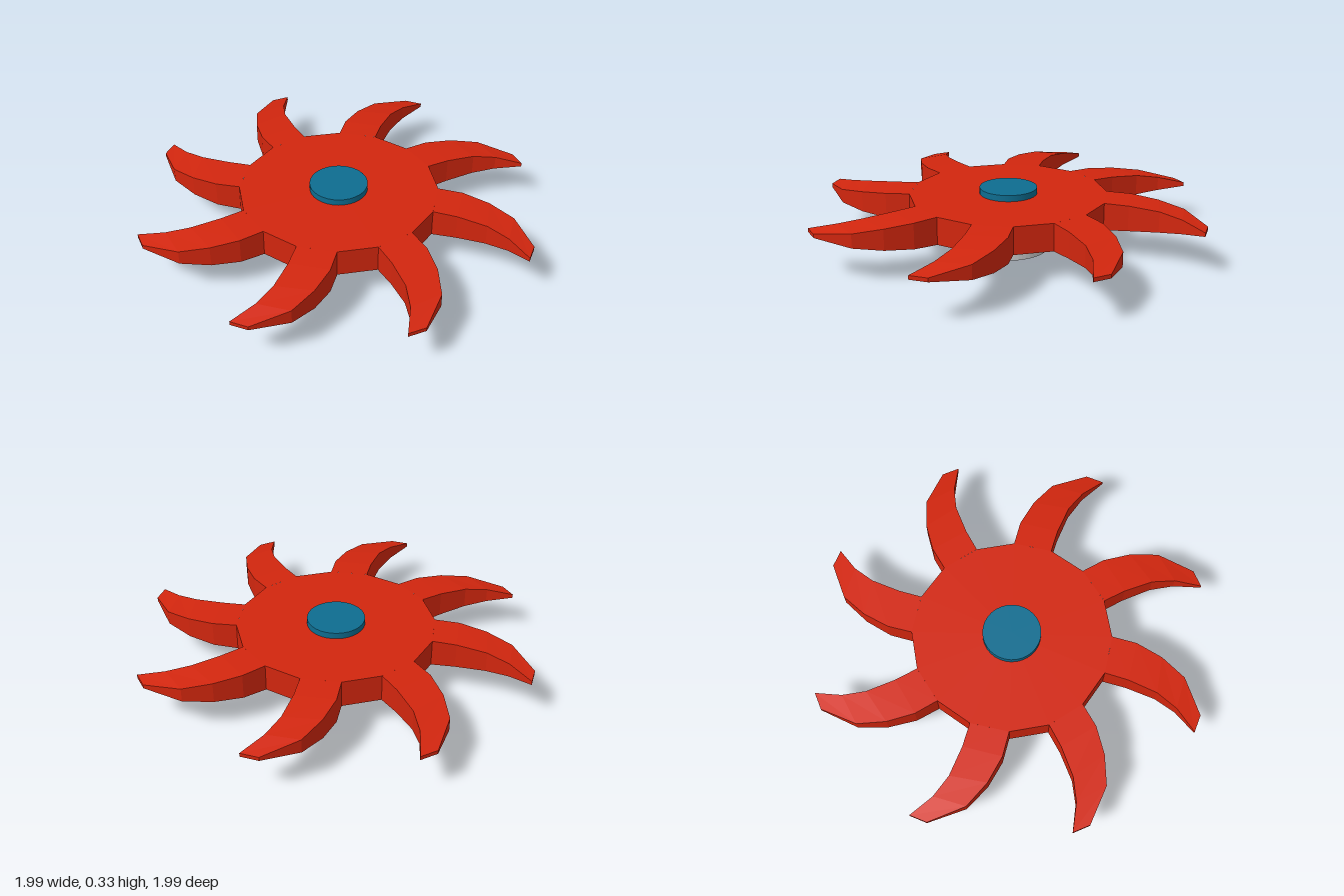
import * as THREE from 'three';

const MID = 0.225; // height of the wheel's middle plane
const HALF = 0.072; // half thickness of the hub disc

// Blade cross-sections from root to tip: left x, z, right x, z, half thickness
const SECTIONS = [
  [0, -0.515, 0.197, -0.476, HALF],
  [0.03, -0.64, 0.23, -0.595, 0.067],
  [0.1, -0.77, 0.29, -0.74, 0.055],
  [0.2, -0.885, 0.365, -0.84, 0.037],
  [0.39, -0.963, 0.477, -0.93, 0.01],
];

// Loft the four-cornered sections into a tapering, curved blade
function bladeGeometry() {
  const positions = [];
  const index = [];
  for (const [lx, lz, rx, rz, h] of SECTIONS) {
    positions.push(lx, h, lz, rx, h, rz, rx, -h, rz, lx, -h, lz);
  }
  const quad = (a, b, c, d) => index.push(a, b, c, a, c, d);
  const last = (SECTIONS.length - 1) * 4;
  for (let s = 0; s < last; s += 4) {
    for (let k = 0; k < 4; k++) {
      const a = s + k;
      const b = s + ((k + 1) % 4);
      quad(a, b, b + 4, a + 4);
    }
  }
  quad(last, last + 1, last + 2, last + 3); // blunt tip
  const geometry = new THREE.BufferGeometry();
  geometry.setAttribute('position', new THREE.Float32BufferAttribute(positions, 3));
  geometry.setIndex(index);
  const flat = geometry.toNonIndexed();
  flat.computeVertexNormals();
  return flat;
}

// Hollow round part: flat rims, straight inner and outer walls
function ringGeometry(inner, outer, height) {
  const shape = new THREE.Shape().absarc(0, 0, outer, 0, Math.PI * 2);
  shape.holes.push(new THREE.Path().absarc(0, 0, inner, 0, Math.PI * 2, true));
  return new THREE.ExtrudeGeometry(shape, { depth: height, bevelEnabled: false, curveSegments: 32 })
    .rotateX(-Math.PI / 2);
}

export function createModel() {
  const model = new THREE.Group();
  model.name = 'bladedWheel';
  const red = new THREE.MeshStandardMaterial({ color: 0xd2260e, flatShading: true });
  const blue = new THREE.MeshStandardMaterial({ color: 0x0e6d90 });
  const grey = new THREE.MeshStandardMaterial({ color: 0xcccccc });

  const add = (name, geometry, material, y, parent = model) => {
    const mesh = new THREE.Mesh(geometry, material);
    mesh.name = name;
    mesh.position.y = y;
    parent.add(mesh);
    return mesh;
  };

  // Sixteen-sided hub with a blade on every second side
  add('hubDisc', new THREE.CylinderGeometry(0.515, 0.515, HALF * 2, 16), red, MID);
  const blades = new THREE.Group();
  blades.name = 'blades';
  model.add(blades);
  const blade = bladeGeometry();
  for (let i = 0; i < 8; i++) {
    add('blade', blade, red, MID, blades).rotation.y = (i * Math.PI) / 4;
  }

  // Axle: solid cap above the hub, hollow sleeve below
  add('axleCap', new THREE.CylinderGeometry(0.15, 0.15, 0.105, 32), blue, 0.2775);
  add('axleSleeve', ringGeometry(0.14, 0.15, 0.12), blue, 0.065);

  // Base collar
  add('baseRing', ringGeometry(0.14, 0.212, 0.068), grey, 0);

  return model;
}
